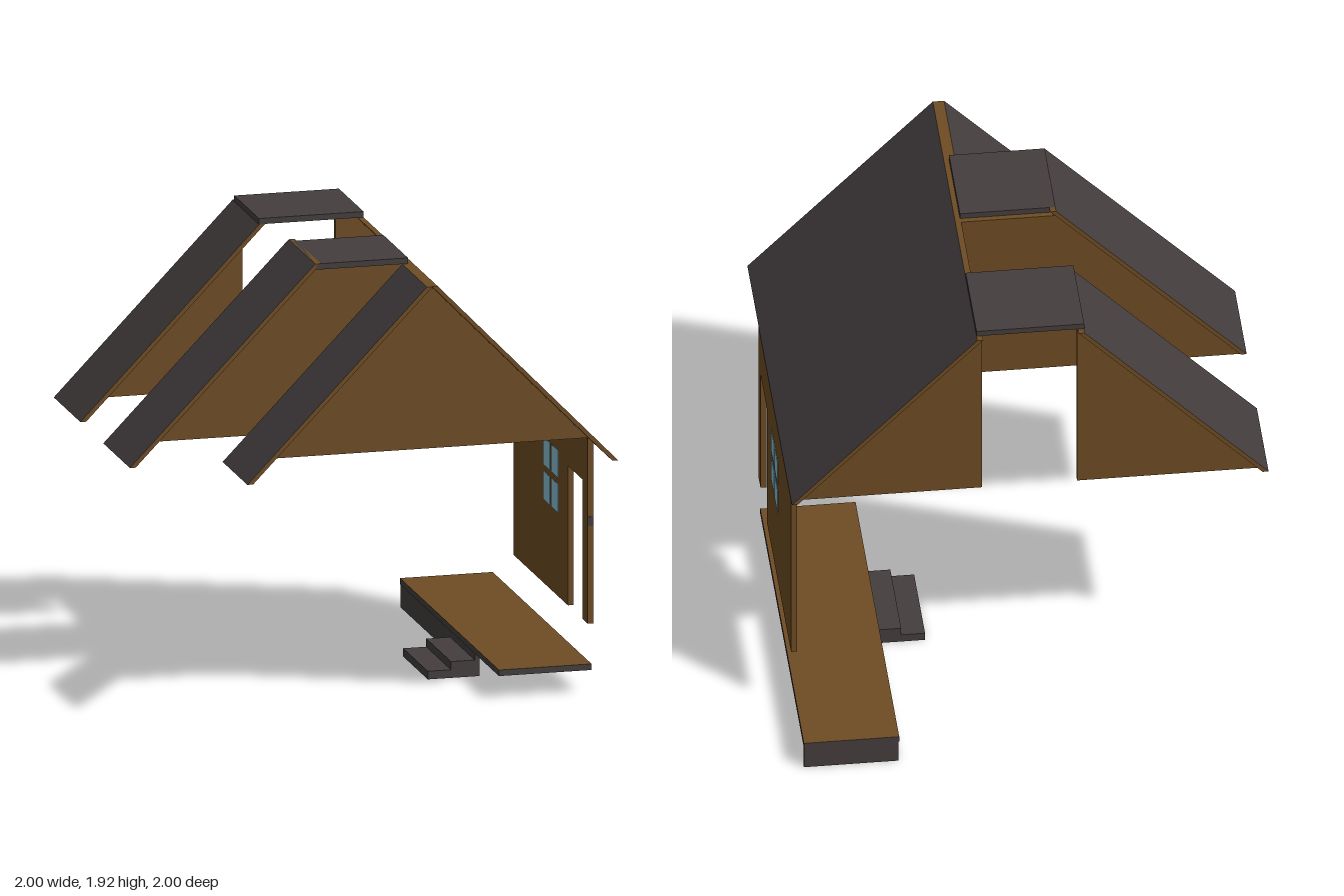
import * as THREE from 'three';

export function createModel() {
  const model = new THREE.Group();
  model.name = 'openCabin';

  const mat = (name, color) => {
    const m = new THREE.MeshStandardMaterial({ color });
    m.name = name;
    return m;
  };
  const wood = mat('brown wood', 0x6e4c23);
  const slate = mat('dark slate', 0x443d3e);
  const glass = mat('pale blue glass', 0x8ac0d0);

  const add = (name, geometry, material, parent = model) => {
    const mesh = new THREE.Mesh(geometry, material);
    mesh.name = name;
    parent.add(mesh);
    return mesh;
  };
  // Box given by its lower and upper corners
  const block = (name, [x0, y0, z0], [x1, y1, z1], material, parent) => {
    const g = new THREE.BoxGeometry(x1 - x0, y1 - y0, z1 - z0);
    g.translate((x0 + x1) / 2, (y0 + y1) / 2, (z0 + z1) / 2);
    return add(name, g, material, parent);
  };
  // Extruded outline in the front plane, from z0 to z1
  const panel = (name, points, z0, z1) => {
    const shape = new THREE.Shape(points.map(([x, y]) => new THREE.Vector2(x, y)));
    const g = new THREE.ExtrudeGeometry(shape, { depth: z1 - z0, bevelEnabled: false });
    g.translate(0, 0, z0);
    return add(name, g, wood);
  };
  // Leaning roof slab: a sheared box with slate on the outer face (side = 1 faces +x)
  const roofSlab = (name, side, bottomX, topX, topY, z0, z1) => {
    const t = 0.025, y0 = 1.1, h = topY - y0;
    const g = new THREE.BoxGeometry(t, h, z1 - z0);
    g.translate(-side * t / 2, h / 2, (z0 + z1) / 2);
    const p = g.attributes.position;
    for (let i = 0; i < p.count; i++) {
      const y = p.getY(i);
      p.setXYZ(i, p.getX(i) + bottomX + (topX - bottomX) * y / h, y + y0, p.getZ(i));
    }
    g.computeVertexNormals();
    const faces = [wood, wood, wood, wood, wood, wood];
    faces[side > 0 ? 0 : 1] = slate;
    return add(name, g, faces);
  };

  // Roof slopes
  roofSlab('longRoofSlope', 1, 1, 0.222, 1.9, -0.63, 1);
  roofSlab('rearRoofSlope', -1, -1, -0.228, 1.9, -0.63, -0.2);
  roofSlab('middleRoofSlope', -1, -1, -0.2, 1.925, 0.17, 0.6);
  roofSlab('porchRoofSlope', -1, -0.6, 0.175, 1.9, 0.6, 1);

  // Flat ridge caps: slate with a wooden underside
  const capFaces = [slate, slate, slate, wood, slate, slate];
  block('rearRidgeCap', [-0.23, 1.9, -0.6], [0.222, 1.925, -0.2], capFaces);
  block('middleRidgeCap', [-0.2, 1.9, 0.2], [0.2, 1.925, 0.6], capFaces);

  // Gable walls
  panel('rearGableLeft', [[0.2, 1.1], [0.985, 1.1], [0.2, 1.9]], -0.6, -0.575);
  panel('rearGableRight', [[-0.985, 1.1], [-0.2, 1.1], [-0.2, 1.9]], -0.6, -0.575);
  panel('middleGable', [[-0.985, 1.1], [0.985, 1.1], [0.2, 1.9], [-0.2, 1.9]], 0.175, 0.2);
  panel('porchGable', [[-0.585, 1.1], [0.985, 1.1], [0.2, 1.898]], 0.575, 0.6);

  // Side wall with a doorway open at the bottom
  const wall = panel('sideWall', [
    [-0.6, 0.3], [-0.52, 0.3], [-0.52, 0.9], [-0.28, 0.9],
    [-0.28, 0.3], [0.6, 0.3], [0.6, 1.1], [-0.6, 1.1],
  ], 0, 0.025);
  wall.geometry.rotateY(Math.PI / 2);
  wall.geometry.translate(0.975, 0, 0);
  block('wallEdgePlate', [0.976, 0.72, 0.599], [0.999, 0.76, 0.603], slate);

  // Four window panes, thin plates on both faces of the wall
  const windowGroup = new THREE.Group();
  windowGroup.name = 'window';
  model.add(windowGroup);
  for (const x of [0.973, 0.998])
    for (const [z0, z1] of [[-0.117, -0.01], [0.016, 0.125]])
      for (const [y0, y1] of [[0.66, 0.783], [0.81, 0.928]])
        block('windowPane', [x, y0, z0], [x + 0.004, y1, z1], glass, windowGroup);

  // Deck with slate rim
  block('deck', [0.592, 0.1, -1], [0.992, 0.126, 0.6], [slate, slate, wood, wood, slate, slate]);
  block('deckInnerSkirt', [0.595, 0, -1], [0.615, 0.1, 0.2], slate);
  block('deckEndSkirt', [0.615, 0, -1], [0.992, 0.1, -0.98], slate);

  // Steps up to the deck
  for (let i = 0; i < 2; i++)
    block('step', [0.392 + i * 0.1, i * 0.035, -0.2], [0.595, 0.035 * (i + 1), 0.2], slate);

  return model;
}
